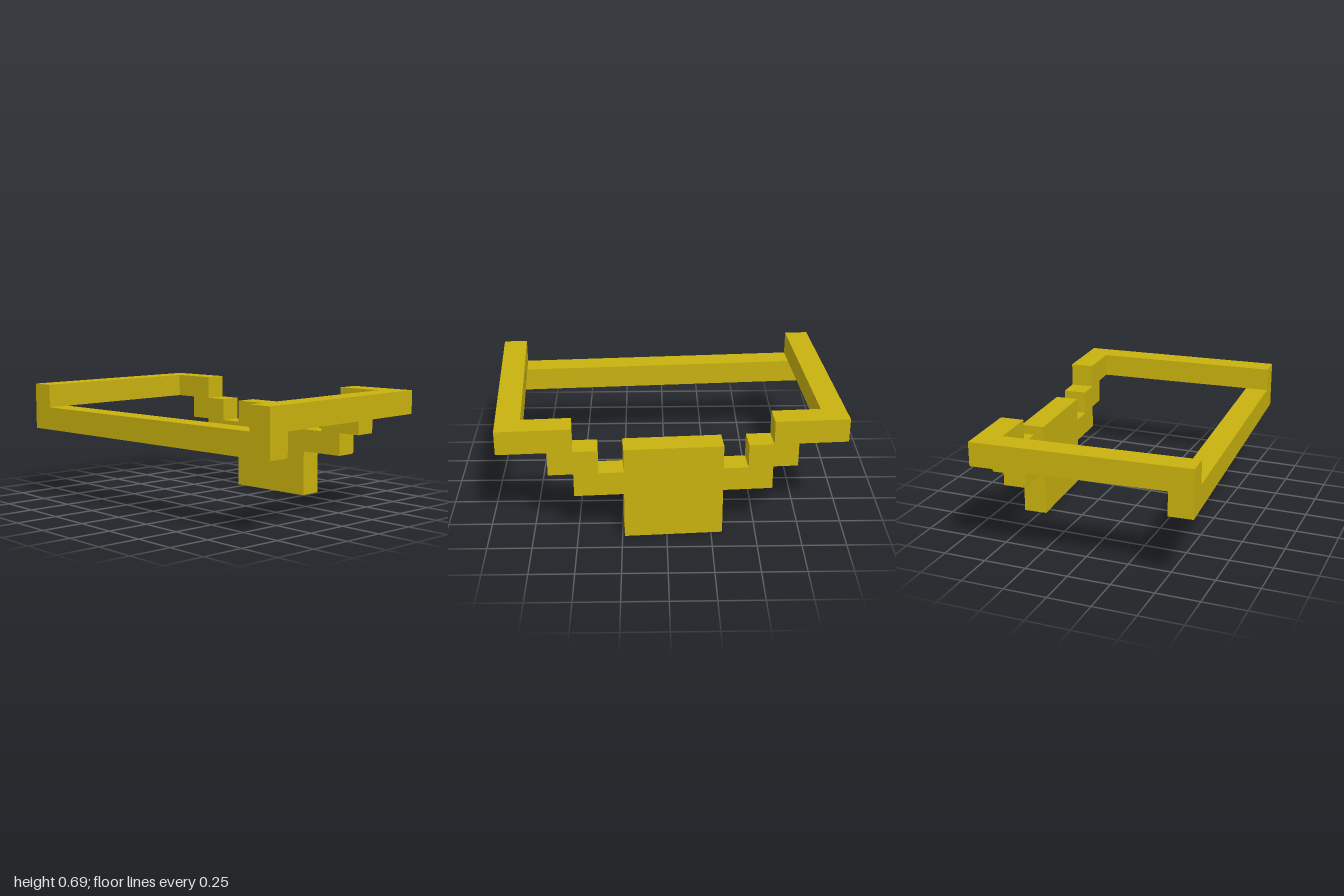
import * as THREE from 'three';

const U = 0.1378; // one block

export function createModel() {
  const group = new THREE.Group();
  group.name = 'blockFrame';
  const material = new THREE.MeshStandardMaterial({ color: 0xc9b20f, flatShading: true });

  function add(name, geometry, x, y, z) {
    const mesh = new THREE.Mesh(geometry, material);
    mesh.name = name;
    mesh.position.set(x * U, y * U, z * U);
    group.add(mesh);
  }

  // Stepped back panel: right half of the outline in blocks, mirrored
  const half = [
    [2, 0], [2, 2], [4, 2], [4, 3], [5, 3], [5, 4], [7, 4],
    [7, 5], [4, 5], [4, 4], [3, 4], [3, 3], [2, 3], [2, 4],
  ];
  const outline = [...half, ...half.map(([x, y]) => [-x, y]).reverse()];
  const shape = new THREE.Shape(outline.map(([x, y]) => new THREE.Vector2(x * U, y * U)));
  add('backPanel', new THREE.ExtrudeGeometry(shape, { depth: U, bevelEnabled: false }), 0, 0, -4.5);

  // Side arms running forward from the panel's top corners
  for (const [name, side] of [['leftArm', 1], ['rightArm', -1]]) {
    add(name, new THREE.BoxGeometry(U, U, 8 * U), side * 6.5, 4.5, 0.5);
  }

  // Front rail, one block lower, under the arm ends
  add('frontRail', new THREE.BoxGeometry(14 * U, U, U), 0, 3.5, 4);

  // The whole frame is turned slightly
  group.rotation.y = 0.062;
  return group;
}
